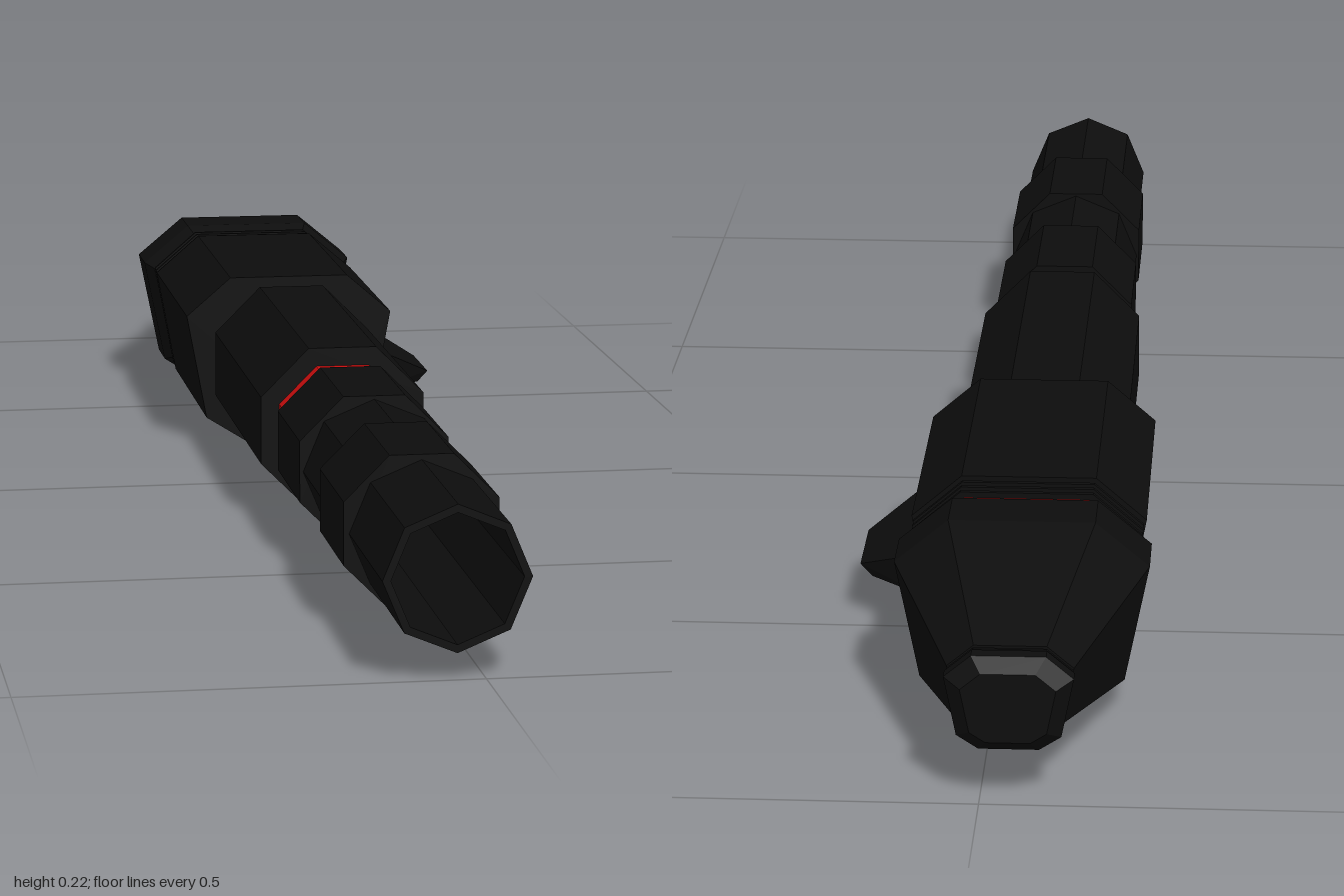
import * as THREE from 'three';
import { ConvexGeometry } from 'three/addons/geometries/ConvexGeometry.js';

const CX = -0.031, CY = 0.109; // long axis of the handle

export function createModel() {
  const group = new THREE.Group();
  const black = new THREE.MeshStandardMaterial({ color: 0x0d0d0d, flatShading: true });
  black.name = 'black';
  const red = new THREE.MeshStandardMaterial({ color: 0xcc0e0e, flatShading: true });
  red.name = 'red';

  const add = (name, geometry, material) => {
    const mesh = new THREE.Mesh(geometry, material);
    mesh.name = name;
    group.add(mesh);
    return mesh;
  };

  // Regular octagon around the axis; flat = flat side up, size = half of its height
  const octagon = (size, flat) => {
    const r = flat ? size / Math.cos(Math.PI / 8) : size;
    return Array.from({ length: 8 }, (_, i) => {
      const a = (i + (flat ? 0.5 : 0)) * Math.PI / 4;
      return [r * Math.cos(a), r * Math.sin(a)];
    });
  };

  // Mirrored section from its right half, listed bottom to top
  const mirrored = (half) => [
    ...half.map(([x, y]) => [x, y - CY]),
    ...half.slice().reverse().map(([x, y]) => [-x, y - CY]),
  ];

  // Closed solid through scaled copies of a section; stations are [z, scale], back to front
  const loft = (section, stations) => {
    const n = section.length, pos = [], index = [];
    for (const [z, s] of stations) for (const [x, y] of section) pos.push(CX + x * s, CY + y * s, z);
    for (let k = 0; k < stations.length - 1; k++) {
      for (let i = 0; i < n; i++) {
        const a = k * n + i, b = k * n + (i + 1) % n;
        index.push(a, b, b + n, a, b + n, a + n);
      }
    }
    const last = (stations.length - 1) * n;
    for (let i = 1; i < n - 1; i++) {
      index.push(0, i + 1, i, last, last + i, last + i + 1);
    }
    const g = new THREE.BufferGeometry();
    g.setAttribute('position', new THREE.Float32BufferAttribute(pos, 3));
    g.setIndex(index);
    const flat = g.toNonIndexed();
    flat.computeVertexNormals();
    return flat;
  };

  // Hollow eight-sided sleeve
  const sleeve = (size, flat, z0, z1) => {
    const points = (list) => list.map(([x, y]) => new THREE.Vector2(x, y));
    const shape = new THREE.Shape(points(octagon(size, flat)));
    shape.holes.push(new THREE.Path(points(octagon(0.071, false)).reverse()));
    return new THREE.ExtrudeGeometry(shape, { depth: z1 - z0, bevelEnabled: false })
      .translate(CX, CY, z0);
  };

  // Stepped open muzzle
  add('muzzle', sleeve(0.08, false, 0.775, 1), black);
  add('muzzleCollar', sleeve(0.086, true, 0.6, 0.775), black);
  add('muzzleTube', sleeve(0.083, false, 0.45, 0.6), black);
  add('rearCollar', sleeve(0.087, true, 0.27, 0.45), black);

  // Red band, also the floor of the bore
  add('redBand', loft(octagon(0.077, true), [[0.2, 1], [0.275, 1]]), red);

  // Middle grip and red neck behind it
  add('grip', loft(octagon(0.099, true), [[-0.222, 1], [0.21, 1]]), black);
  add('redNeck', loft(octagon(0.08, true), [[-0.26, 0.85], [-0.22, 1]]), red);

  // Rear housing, wider at the top than at the bottom
  const housing = mirrored([[0.054, 0], [0.108, 0.034], [0.133, 0.168], [0.076, 0.217]]);
  add('housing', loft(housing, [[-0.583, 1], [-0.245, 1]]), black);

  // Side lever on the left of the housing
  const lever = [];
  for (const [x, y, z0, z1] of [
    [0.07, 0.12, -0.555, -0.275], [0.07, 0.056, -0.555, -0.275],
    [0.098, 0.106, -0.545, -0.29], [0.09, 0.055, -0.545, -0.29],
    [0.171, 0.065, -0.47, -0.36], [0.157, 0.052, -0.475, -0.355],
  ]) lever.push(new THREE.Vector3(x, y, z0), new THREE.Vector3(x, y, z1));
  add('sideLever', new ConvexGeometry(lever), black);

  // Red core with thin black cooling rings
  add('ringCore', loft(housing, [[-0.645, 0.92], [-0.575, 0.92]]), red);
  for (const z of [-0.595, -0.611, -0.627]) {
    add('coolingRing', loft(housing, [[z - 0.003, 0.98], [z + 0.003, 0.98]]), black);
  }

  // Tapered pommel with a red ring and an end cap
  const pommel = mirrored([[0.066, 0.003], [0.114, 0.034], [0.141, 0.169], [0.081, 0.219]]);
  add('pommel', loft(pommel, [[-0.952, 0.48], [-0.73, 1], [-0.66, 1], [-0.637, 0.92]]), black);
  add('pommelRing', loft(pommel, [[-0.97, 0.45], [-0.95, 0.45]]), red);
  add('pommelRib', loft(pommel, [[-0.962, 0.48], [-0.958, 0.48]]), black);
  add('endCap', loft(pommel, [[-1, 0.36], [-0.984, 0.49], [-0.967, 0.49]]), black);

  return group;
}
